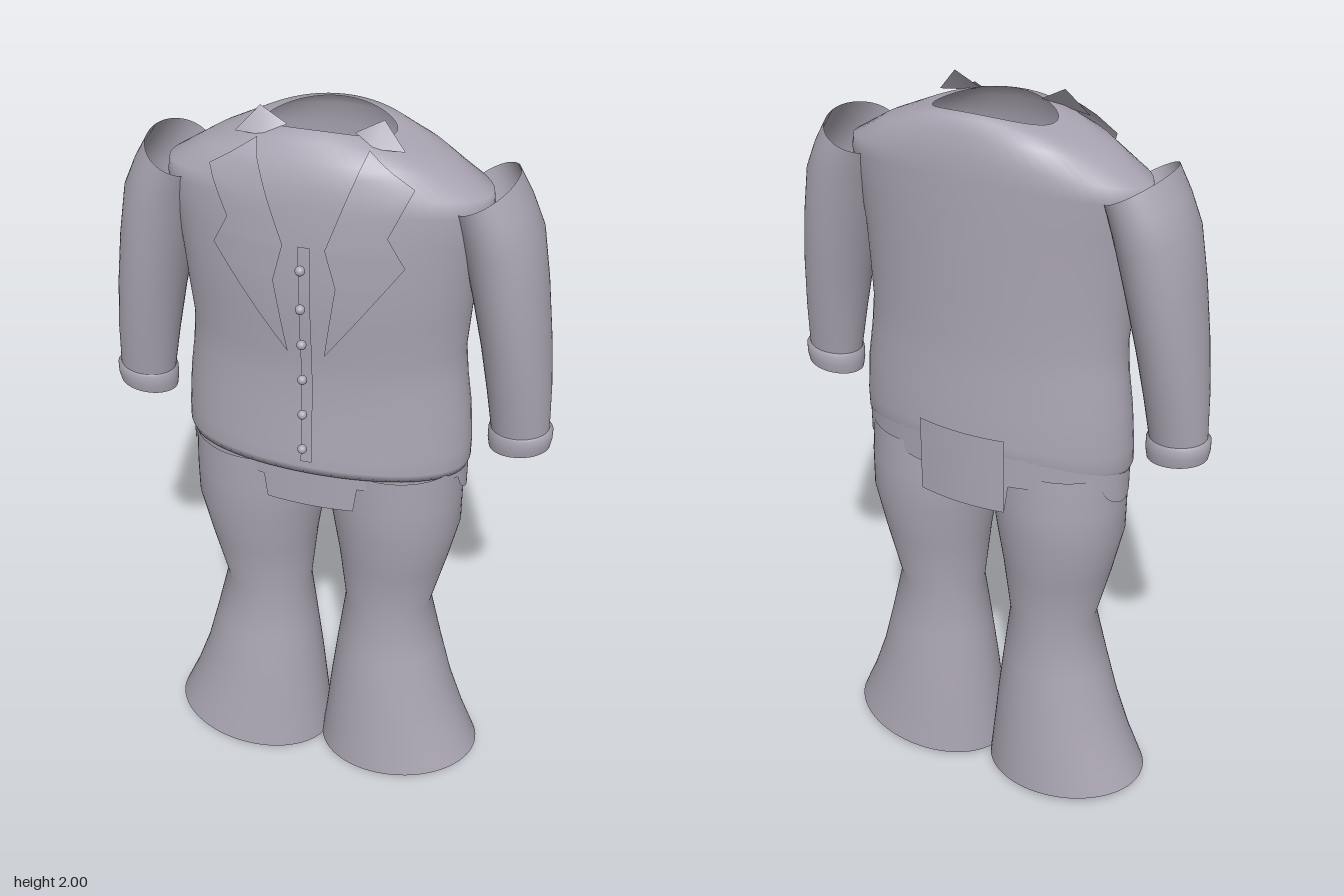
import * as THREE from 'three';

const cloth = new THREE.MeshStandardMaterial({ color: 0xaaa5b2, side: THREE.DoubleSide });
cloth.name = 'grey cloth';

// Surface from a grid of points; wrap closes each row into a ring
function surface(rows, wrap) {
  const n = rows[0].length, idx = [];
  for (let r = 0; r < rows.length - 1; r++) {
    for (let i = 0; i < (wrap ? n : n - 1); i++) {
      const a = r * n + i, b = r * n + (i + 1) % n;
      idx.push(a, a + n, b, b, a + n, b + n);
    }
  }
  const g = new THREE.BufferGeometry();
  g.setAttribute('position', new THREE.Float32BufferAttribute(rows.flat(2), 3));
  g.setIndex(idx);
  g.computeVertexNormals();
  return g;
}

// Oval ring [xa, ya, xb, yb, zFront, zBack, frontLift, backLift]
function ring([xa, ya, xb, yb, zf, zb, lf = 0, lb = 0], side = 1, n = 64) {
  return Array.from({ length: n }, (_, i) => {
    const t = (-i / n) * Math.PI * 2, c = Math.cos(t), s = Math.sin(t), k = (1 + c) / 2;
    return [
      side * (xb + (xa - xb) * k),
      yb + (ya - yb) * k + (s > 0 ? lf : lb) * s * s,
      (zf + zb) / 2 + s * (zf - zb) / 2,
    ];
  });
}
const tube = (rings, side = 1) => surface(rings.map((r) => ring(r, side)), true);

// Jacket profile: [half width, side y, zFront, zBack, frontLift, backLift]
const JACKET = [
  [0.355, 1.085, 0.15, -0.185, 0.015, 0.045],
  [0.37, 1.07, 0.165, -0.195, 0.015, 0.045],
  [0.378, 1.09, 0.167, -0.2, 0.015, 0.045],
  [0.378, 1.14, 0.163, -0.2, 0, 0.02],
  [0.37, 1.25, 0.155, -0.195],
  [0.357, 1.34, 0.15, -0.188],
  [0.35, 1.42, 0.152, -0.185],
  [0.358, 1.52, 0.162, -0.185],
  [0.366, 1.62, 0.167, -0.185],
  [0.38, 1.73, 0.166, -0.185],
  [0.395, 1.8, 0.16, -0.184, 0.02, 0.03],
  [0.39, 1.835, 0.153, -0.182, 0.03, 0.045],
  [0.3, 1.89, 0.137, -0.172, 0.035, 0.045],
  [0.22, 1.925, 0.108, -0.155, 0.033, 0.04],
  [0.155, 1.945, 0.07, -0.13, 0.025, 0.025],
];

// Linear lookup in a table of [y, value...]
function lookup(table, y, col = 1) {
  const up = table[0][0] < table[table.length - 1][0] ? table : [...table].reverse();
  if (y <= up[0][0]) return up[0][col];
  for (let i = 1; i < up.length; i++) {
    if (y <= up[i][0]) {
      const k = (y - up[i - 1][0]) / (up[i][0] - up[i - 1][0] || 1);
      return THREE.MathUtils.lerp(up[i - 1][col], up[i][col], k);
    }
  }
  return up[up.length - 1][col];
}

// Front of the jacket at x, y
const FRONT = JACKET.slice(2).map(([w, y, zf, zb, lf = 0]) => [y + lf, w, zf, zb]);
function frontZ(x, y) {
  const w = lookup(FRONT, y, 1), zf = lookup(FRONT, y, 2), zb = lookup(FRONT, y, 3);
  const c = (zf + zb) / 2;
  return c + (zf - c) * Math.sqrt(Math.max(0, 1 - (x / w) ** 2));
}

// Cloth strip laid over the jacket front between two edges
function strip(inner, outer, lift, side) {
  const ys = [...new Set([...inner, ...outer].map((p) => p[0]))].sort((a, b) => b - a);
  const fine = ys.flatMap((y, i) => i < ys.length - 1
    ? [0, 1, 2, 3].map((k) => y + (ys[i + 1] - y) * k / 4) : [y]);
  return surface(fine.map((y) => Array.from({ length: 9 }, (_, i) => {
    const x = THREE.MathUtils.lerp(lookup(inner, y), lookup(outer, y), i / 8);
    return [side * x, y, frontZ(x, y) + lift];
  })), false);
}

// Shirt band under the hem, with front and back tabs and rounded side flaps
function shirtBand() {
  const n = 240, rows = [];
  const base = ring([0.372, 0, -0.372, 0, 0.157, -0.2], 1, n);
  for (let r = 0; r <= 6; r++) {
    rows.push(base.map(([x, , z]) => {
      let low = 1.055 - 0.015 * (1 - Math.abs(x) / 0.372);
      if (Math.abs(x) < 0.121) low = 0.975;
      const d = Math.abs(z + 0.035) / 0.06;
      if (Math.abs(x) > 0.3 && d < 1) low = 1.055 - 0.06 * Math.sqrt(1 - d * d);
      const top = z < 0 ? 1.13 : 1.1;
      return [x, THREE.MathUtils.lerp(top, low, r / 6), z];
    }));
  }
  return surface(rows, true);
}

export function createModel() {
  const model = new THREE.Group();
  model.name = 'suit';
  const add = (name, geometry) => {
    const mesh = new THREE.Mesh(geometry, cloth);
    mesh.name = name;
    model.add(mesh);
    return mesh;
  };

  add('jacket', tube(JACKET.map(([w, y, zf, zb, lf, lb]) => [w, y, -w, y, zf, zb, lf, lb])));
  add('shirtBand', shirtBand());

  // Upright tab at the back of the waist
  add('backTab', surface([1.185, 1.08, 0.975].map((y) =>
    Array.from({ length: 9 }, (_, i) => {
      const x = -0.12 + 0.03 * i;
      return [x, y, -0.217 + x * x * 0.9];
    })), false));

  for (const side of [1, -1]) {
    const label = side > 0 ? 'left' : 'right';

    // Flared trouser leg
    add(label + 'TrouserLeg', tube([
      [0.358, 1.08, 0.0, 1.08, 0.145, -0.175],
      [0.363, 0.97, 0.003, 0.97, 0.143, -0.18],
      [0.363, 0.87, 0.016, 0.87, 0.138, -0.178],
      [0.335, 0.74, 0.036, 0.74, 0.118, -0.158],
      [0.295, 0.575, 0.055, 0.565, 0.09, -0.13],
      [0.332, 0.42, 0.036, 0.415, 0.113, -0.147],
      [0.368, 0.28, 0.018, 0.265, 0.134, -0.163],
      [0.41, 0.16, 0.004, 0.13, 0.15, -0.175],
      [0.455, 0.055, -0.01, 0.005, 0.167, -0.187],
    ], side));

    // Sleeve, open at the shoulder
    add(label + 'Sleeve', tube([
      [0.443, 1.88, 0.3, 1.8, 0.105, -0.15],
      [0.478, 1.82, 0.315, 1.75, 0.105, -0.152],
      [0.51, 1.75, 0.33, 1.69, 0.101, -0.148],
      [0.533, 1.62, 0.357, 1.58, 0.095, -0.138],
      [0.552, 1.48, 0.385, 1.45, 0.082, -0.12],
      [0.566, 1.34, 0.408, 1.32, 0.064, -0.097],
      [0.572, 1.21, 0.427, 1.2, 0.046, -0.077],
    ], side));
    add(label + 'Cuff', tube([
      [0.57, 1.222, 0.43, 1.215, 0.044, -0.075],
      [0.581, 1.215, 0.42, 1.205, 0.052, -0.085],
      [0.581, 1.19, 0.42, 1.175, 0.052, -0.085],
      [0.577, 1.167, 0.424, 1.15, 0.046, -0.08],
    ], side));

    // Notched lapel
    add(label + 'Lapel', strip(
      [[1.955, 0.13], [1.735, 0.05], [1.64, 0.075], [1.445, 0.045]],
      [[1.955, 0.13], [1.885, 0.24], [1.775, 0.19], [1.7, 0.23], [1.445, 0.045]],
      0.018, side));

    // Pointed shirt collar tip
    add(label + 'CollarTip', surface([
      [[side * 0.08, 1.965, 0.045], [side * 0.145, 2.0, 0.038]],
      [[side * 0.125, 1.945, 0.075], [side * 0.2, 1.94, 0.06]],
    ], false));
  }

  // Button strip and buttons
  add('buttonStrip', strip(
    [[1.735, -0.014], [1.13, -0.014]],
    [[1.735, 0.014], [1.66, 0.014], [1.58, 0.014], [1.42, 0.014], [1.25, 0.014], [1.13, 0.014]],
    0.014, 1));
  const bead = new THREE.SphereGeometry(0.012, 16, 12);
  [0.207, 0.202, 0.2, 0.203, 0.21, 0.208].forEach((z, i) =>
    add('button', bead).position.set(0, 1.19 + 0.1 * i, z));

  return model;
}
